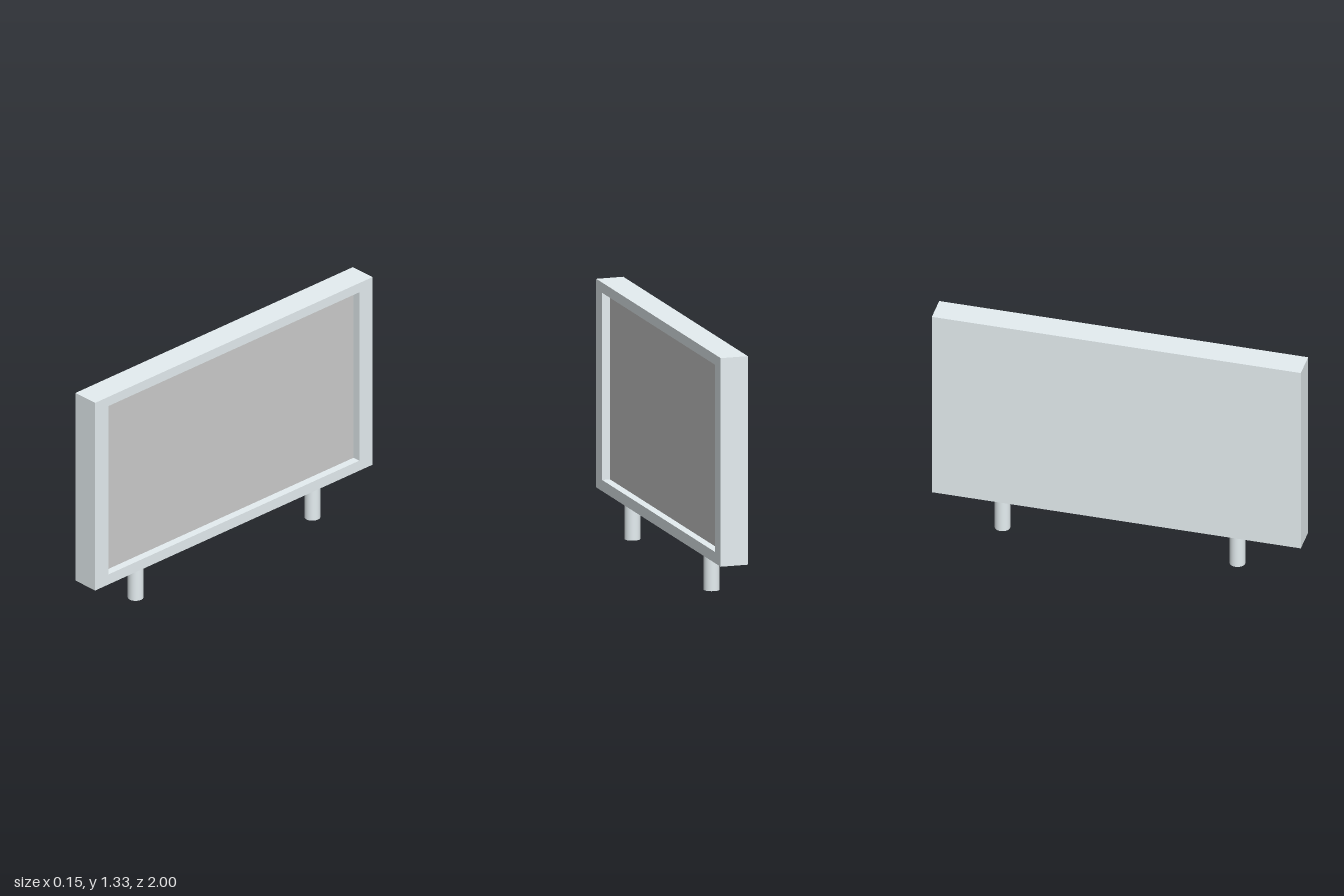
import * as THREE from 'three';

export function createModel() {
  const model = new THREE.Group();
  const casing = new THREE.MeshStandardMaterial({ color: 0xe5eef1 });
  const grey = new THREE.MeshStandardMaterial({ color: 0xcccccc });

  const add = (name, geometry, material, x, y, z) => {
    const mesh = new THREE.Mesh(geometry, material);
    mesh.name = name;
    mesh.position.set(x, y, z);
    model.add(mesh);
    return mesh;
  };

  const bottom = 0.205, top = 1.325, halfDepth = 0.075, recess = 0.045;
  const seat = halfDepth - recess;

  // Rectangle outline from corner to corner
  const rect = (path, w, y0, y1) => {
    path.moveTo(-w, y0);
    path.lineTo(w, y0);
    path.lineTo(w, y1);
    path.lineTo(-w, y1);
    path.closePath();
    return path;
  };

  // Solid back of the casing
  add('casingBack', new THREE.BoxGeometry(halfDepth + seat, top - bottom, 2), casing,
    (seat - halfDepth) / 2, (top + bottom) / 2, 0);

  // Raised rim around the recessed panel, facing +x
  const rim = rect(new THREE.Shape(), 1, bottom, top);
  rim.holes.push(rect(new THREE.Path(), 0.905, 0.265, 1.27));
  const rimGeometry = new THREE.ExtrudeGeometry(rim, { depth: recess, bevelEnabled: false });
  rimGeometry.rotateY(Math.PI / 2);
  add('rim', rimGeometry, casing, seat, 0, 0);

  // Display panel at the bottom of the recess
  const panel = new THREE.PlaneGeometry(1.81, 1.005);
  panel.rotateY(Math.PI / 2);
  add('displayPanel', panel, grey, seat + 0.001, 0.7675, 0);

  // Two round posts
  for (const side of [1, -1]) {
    add(side > 0 ? 'frontPost' : 'backPost',
      new THREE.CylinderGeometry(0.042, 0.042, bottom, 32), casing, 0, bottom / 2, side * 0.637);
  }

  return model;
}
